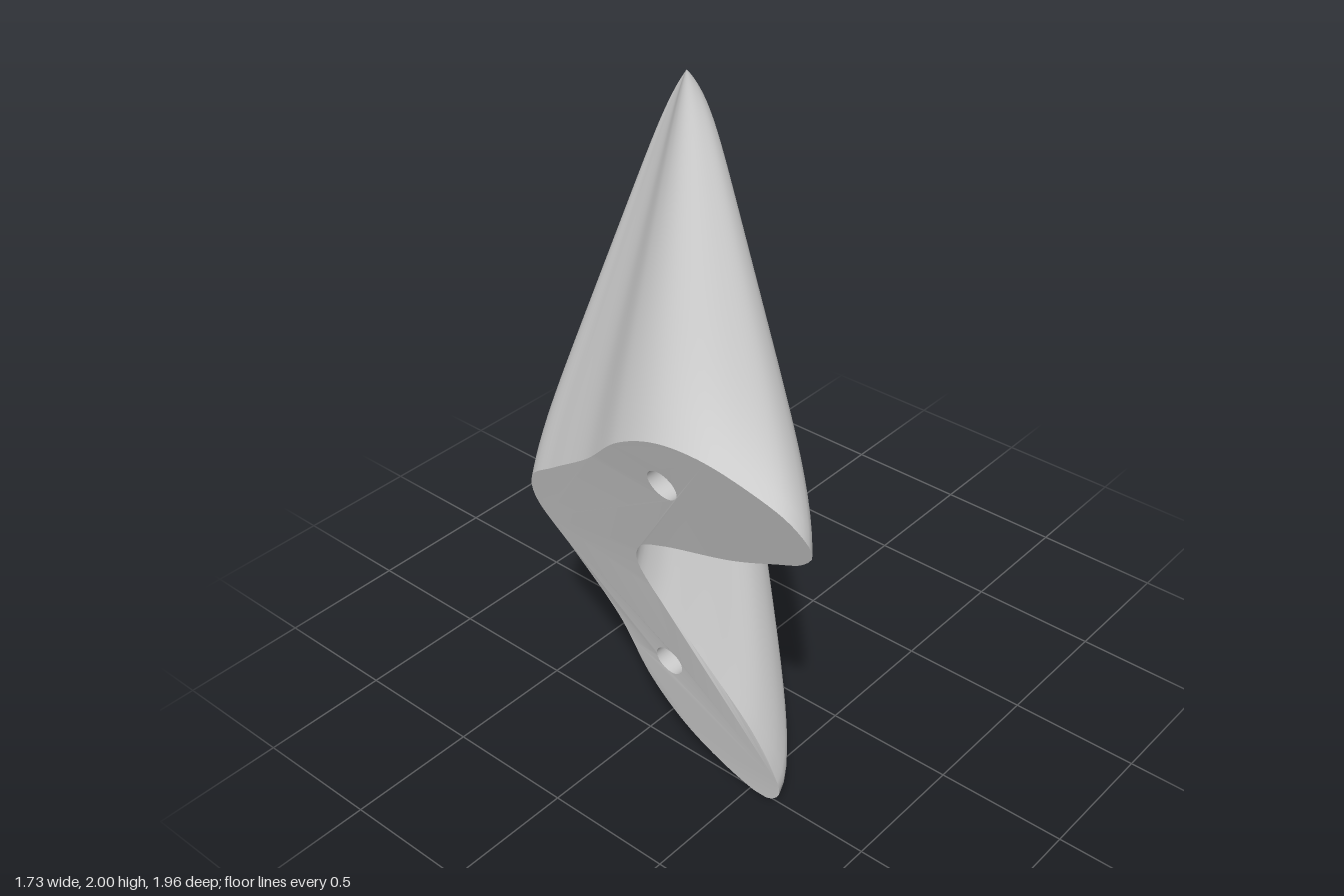
import * as THREE from 'three';

// gently bowed mounting face: x depends on height
const faceX = (y) => -0.51 - 0.065 * y - 0.12 * y * y + 0.018 * y * y * y;

// bent two-lobed cross-section at the mounting face, as [z, y]
const OUTLINE = [
  [0.98, 1.47], [0.92, 1.565], [0.76, 1.635], [0.58, 1.668], [0.4, 1.645], [0.21, 1.55], [0.02, 1.38],
  [-0.19, 1.23], [-0.33, 1.12], [-0.35, 1.0], [-0.22, 0.8], [-0.06, 0.56], [0.05, 0.31], [0.21, 0.14],
  [0.45, 0.02], [0.58, 0], [0.64, 0.06], [0.62, 0.15], [0.54, 0.31], [0.4, 0.5], [0.25, 0.7],
  [0.16, 0.83], [0.12, 0.95], [0.16, 1.04], [0.27, 1.1], [0.6, 1.22], [0.8, 1.32], [0.93, 1.395],
];
const HOLES = [[0.37, 1.44], [0.165, 0.455]];
const HOLE_RADIUS = 0.06;
const HOLE_DEPTH = 0.15;
const CENTRE = new THREE.Vector3(-0.68, 1, -0.05);
const TIP = new THREE.Vector3(0.86, 1.96, -0.98);

// a rim point carried to t along the axis: straight taper plus a swell,
// which peaks late on the upper lobe and early on the lower one
function sweep([z, y], t) {
  const lobe = THREE.MathUtils.clamp((y - 1) / 0.6, -1, 1);
  const swell = 0.12 * (1 - (2 * t - 1) ** 6) * (1 + 0.22 * lobe * (2 * t - 1));
  const s = 1 - t + swell;
  const sz = 1 - t + swell * (1 - 0.5 * Math.max(0, lobe));
  return new THREE.Vector3(faceX(y), y, z).sub(CENTRE)
    .multiply(new THREE.Vector3(s, s, sz))
    .add(CENTRE.clone().lerp(TIP, t));
}

// skin swept from the mounting face to the tip
function bodyGeometry(rim) {
  const rings = 60, n = rim.length;
  const positions = [], index = [];
  for (let i = 0; i < rings; i++) {
    const t = 1 - (1 - i / rings) ** 1.8; // closer rings toward the tip
    for (const point of rim) positions.push(...sweep(point, t).toArray());
  }
  positions.push(TIP.x, TIP.y, TIP.z);
  for (let i = 0; i < rings; i++) {
    for (let j = 0; j < n; j++) {
      const a = i * n + j, b = i * n + (j + 1) % n;
      if (i === rings - 1) index.push(a, rings * n, b);
      else index.push(a, a + n, b, b, a + n, b + n);
    }
  }
  const g = new THREE.BufferGeometry();
  g.setAttribute('position', new THREE.Float32BufferAttribute(positions, 3));
  g.setIndex(index);
  g.computeVertexNormals();
  return g;
}

// mounting face with two round holes
function faceGeometry(rim) {
  const shape = new THREE.Shape(rim.map(([z, y]) => new THREE.Vector2(z, y)));
  for (const [z, y] of HOLES) {
    shape.holes.push(new THREE.Path().absarc(z, y, HOLE_RADIUS, 0, Math.PI * 2, true));
  }
  const g = new THREE.ShapeGeometry(shape, 16);
  const pos = g.attributes.position;
  for (let i = 0; i < pos.count; i++) {
    const z = pos.getX(i), y = pos.getY(i);
    pos.setXYZ(i, faceX(y), y, z);
  }
  g.computeVertexNormals();
  return g;
}

export function createModel() {
  const grey = new THREE.MeshStandardMaterial({ color: 0xcccccc });
  grey.name = 'plain grey';
  const greyInside = grey.clone();
  greyInside.name = 'plain grey inside';
  greyInside.side = THREE.DoubleSide;

  const model = new THREE.Group();
  const add = (name, geometry, material) => {
    const mesh = new THREE.Mesh(geometry, material);
    mesh.name = name;
    model.add(mesh);
    return mesh;
  };

  const curve = new THREE.CatmullRomCurve3(
    OUTLINE.map(([z, y]) => new THREE.Vector3(z, y, 0)), true, 'centripetal');
  const rim = curve.getSpacedPoints(180).slice(0, 180).map((p) => [p.x, Math.max(0, p.y)]);

  add('body', bodyGeometry(rim), grey);
  add('mountingFace', faceGeometry(rim), grey);

  // blind holes sunk into the mounting face
  for (const [z, y] of HOLES) {
    const wall = new THREE.CylinderGeometry(HOLE_RADIUS, HOLE_RADIUS, HOLE_DEPTH, 32, 1, true);
    wall.rotateZ(Math.PI / 2);
    // shear the wall so its mouth meets the sloping face
    const pos = wall.attributes.position;
    for (let i = 0; i < pos.count; i++) {
      const start = faceX(y + pos.getY(i));
      pos.setX(i, pos.getX(i) < 0 ? start : start + HOLE_DEPTH);
    }
    add('holeWall', wall.translate(0, y, z), greyInside);
    const floor = new THREE.CircleGeometry(HOLE_RADIUS, 32).rotateY(-Math.PI / 2);
    add('holeFloor', floor, greyInside).position.set(faceX(y) + HOLE_DEPTH - 0.02, y, z);
  }
  return model;
}
